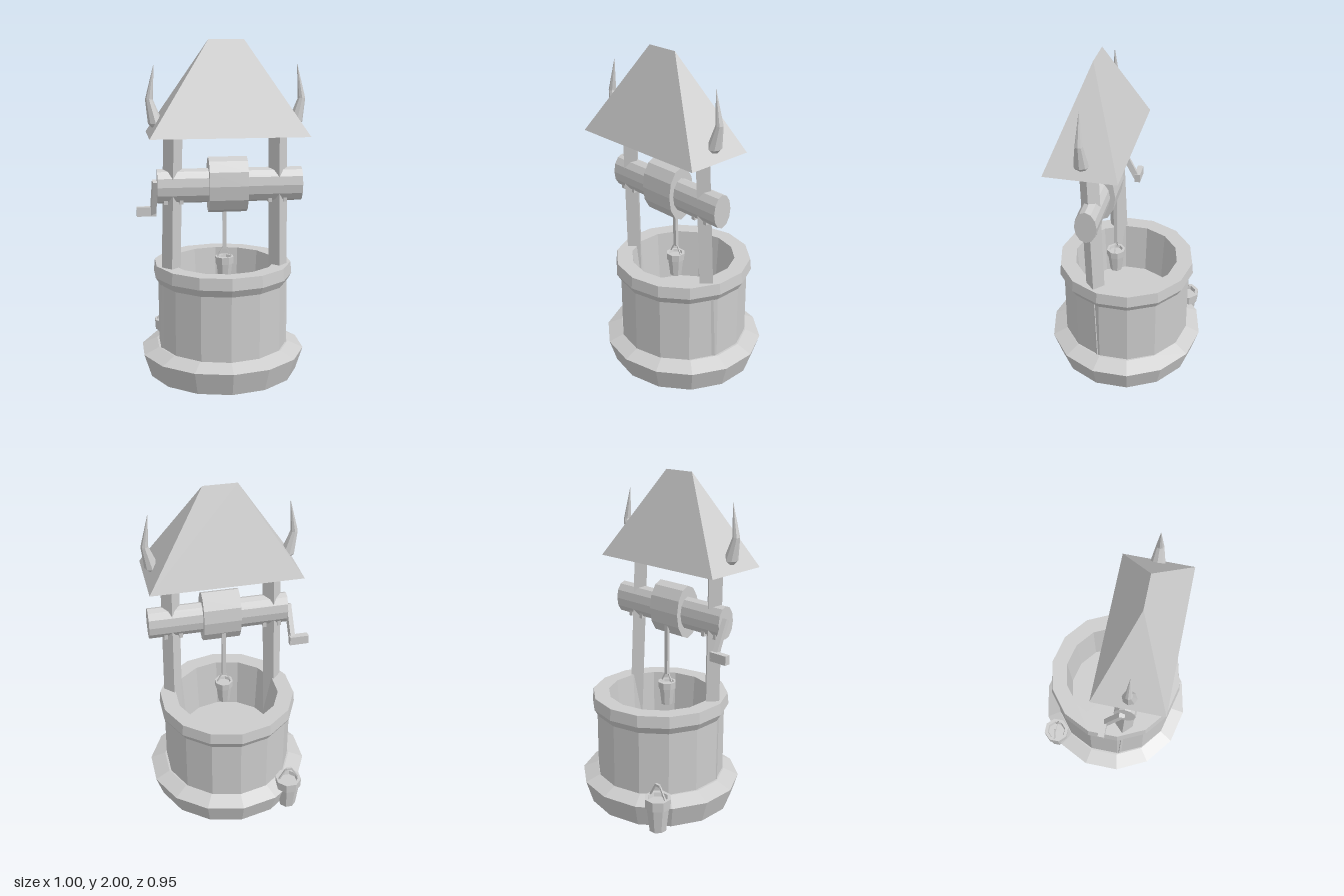
import * as THREE from 'three';

const V = (x, y, z) => new THREE.Vector3(x, y, z);
const CX = 0.011; // middle of the well
const ROOF_Z = 0.157, AXLE_Z = 0.133;

export function createModel() {
  const model = new THREE.Group();
  model.name = 'wishingWell';
  // Double-sided because the well is an open shell underneath
  const grey = new THREE.MeshStandardMaterial({ color: 0xcccccc, flatShading: true, side: THREE.DoubleSide });
  grey.name = 'stone grey';

  const add = (name, geometry, parent = model) => {
    const mesh = new THREE.Mesh(geometry, grey);
    mesh.name = name;
    parent.add(mesh);
    return mesh;
  };
  const lathe = (points, sides) =>
    new THREE.LatheGeometry(points.map(([r, y]) => new THREE.Vector2(r, y)), sides);
  const box = (name, x0, x1, y0, y1, z0, z1) =>
    add(name, new THREE.BoxGeometry(x1 - x0, y1 - y0, z1 - z0)
      .translate((x0 + x1) / 2, (y0 + y1) / 2, (z0 + z1) / 2));
  // Square bar from p to q, turned about its own length by yaw
  const beam = (name, p, q, w, d, yaw = 0, parent = model) => {
    const dir = q.clone().sub(p);
    const mesh = add(name, new THREE.BoxGeometry(w, dir.length(), d).rotateY(yaw), parent);
    mesh.quaternion.setFromUnitVectors(V(0, 1, 0), dir.normalize());
    mesh.position.copy(p).add(q).multiplyScalar(0.5);
    return mesh;
  };

  // Flared foot ring, hollow and open underneath
  const foot = add('footRing', lathe([
    [0.385, 0.155], [0.447, 0.12], [0.453, 0], [0.498, 0.14], [0.405, 0.18], [0.38, 0.18],
  ], 14));
  foot.position.x = CX;
  foot.scale.z = 0.958;

  // Wall, rim and shaft down to its floor
  const wall = add('wellWall', lathe([
    [0.393, 0.15], [0.393, 0.57], [0.42, 0.615], [0.413, 0.685],
    [0.317, 0.685], [0.295, 0.37], [0, 0.37],
  ], 14));
  wall.position.x = CX;
  wall.scale.z = 0.995;

  // Leaning posts, set corner-on, with small pegs under the axle
  for (const s of [-1, 1]) {
    const side = s < 0 ? 'right' : 'left';
    const topX = CX + s * 0.303;
    beam(side + 'Post', V(CX + s * 0.329, 0.12, 0.1), V(topX, 1.475, 0.144), 0.078, 0.078, Math.PI / 4);
    for (const dx of [-0.045, 0.045]) {
      const x = topX + dx;
      box(side + 'AxlePeg', x - 0.011, x + 0.011, 1.07, 1.11, 0.09, 0.17);
    }
  }

  // Oval axle and drum
  const roller = (name, x0, x1, y, ry, rz) =>
    add(name, new THREE.CylinderGeometry(1, 1, x1 - x0, 12)
      .rotateZ(Math.PI / 2).scale(1, ry, rz).translate((x0 + x1) / 2, y, AXLE_Z));
  roller('axle', -0.385, 0.458, 1.172, 0.1, 0.064);
  roller('drum', -0.09, 0.135, 1.175, 0.163, 0.094);

  // Crank
  beam('crankArm', V(-0.395, 1.2, 0.12), V(-0.404, 0.985, 0.015), 0.03, 0.035);
  box('crankHandle', -0.5, -0.384, 0.975, 1.03, -0.002, 0.035);

  // Hipped roof: rectangular eaves rising to a short ridge
  const roof = new THREE.BoxGeometry(2, 2, 2).toNonIndexed();
  const rp = roof.attributes.position;
  for (let i = 0; i < rp.count; i++) {
    const top = rp.getY(i) > 0;
    rp.setXYZ(i,
      CX + rp.getX(i) * (top ? 0.1 : 0.447),
      top ? 2 : 1.469,
      ROOF_Z + rp.getZ(i) * (top ? 0.0005 : 0.208));
  }
  roof.computeVertexNormals();
  add('roof', roof);

  // Horns curving up from the roof ends: [distance from middle, height, radius]
  const hornRings = [[0.335, 1.455, 0.03], [0.4, 1.535, 0.043], [0.435, 1.67, 0.022], [0.407, 1.86, 0.001]];
  for (const s of [-1, 1]) {
    const horn = new THREE.CylinderGeometry(1, 1, 3, 8, 3);
    const p = horn.attributes.position;
    for (let i = 0; i < p.count; i++) {
      const [d, y, r] = hornRings[Math.round(p.getY(i) + 1.5)];
      p.setXYZ(i, CX + s * d + p.getX(i) * r, y, ROOF_Z + p.getZ(i) * r);
    }
    horn.computeVertexNormals();
    add(s < 0 ? 'rightHorn' : 'leftHorn', horn);
  }

  // Eight-sided bucket with a bent handle
  const bucket = (name, x, y, z, size) => {
    const group = new THREE.Group();
    group.name = name;
    add('bucketBody', lathe([
      [0, 0], [0.052, 0], [0.07, 0.15], [0.079, 0.15], [0.081, 0.21],
      [0.06, 0.21], [0.054, 0.186], [0, 0.186],
    ], 8).rotateY(Math.PI / 8), group);
    const bend = [V(-0.064, 0.2, 0), V(-0.017, 0.285, 0), V(0.017, 0.285, 0), V(0.064, 0.2, 0)];
    for (let i = 0; i < 3; i++) {
      const thick = i === 1 ? 0.014 : 0.009;
      beam('bucketHandle', bend[i], bend[i + 1], thick, thick, 0, group);
    }
    group.position.set(x, y, z);
    group.scale.setScalar(size);
    model.add(group);
  };
  bucket('hangingBucket', 0.015, 0.58, 0.065, 0.7);
  bucket('standingBucket', -0.306, 0, -0.345, 1);
  beam('rope', V(0.015, 0.775, 0.065), V(0.015, 1.1, 0.065), 0.022, 0.02);

  return model;
}
